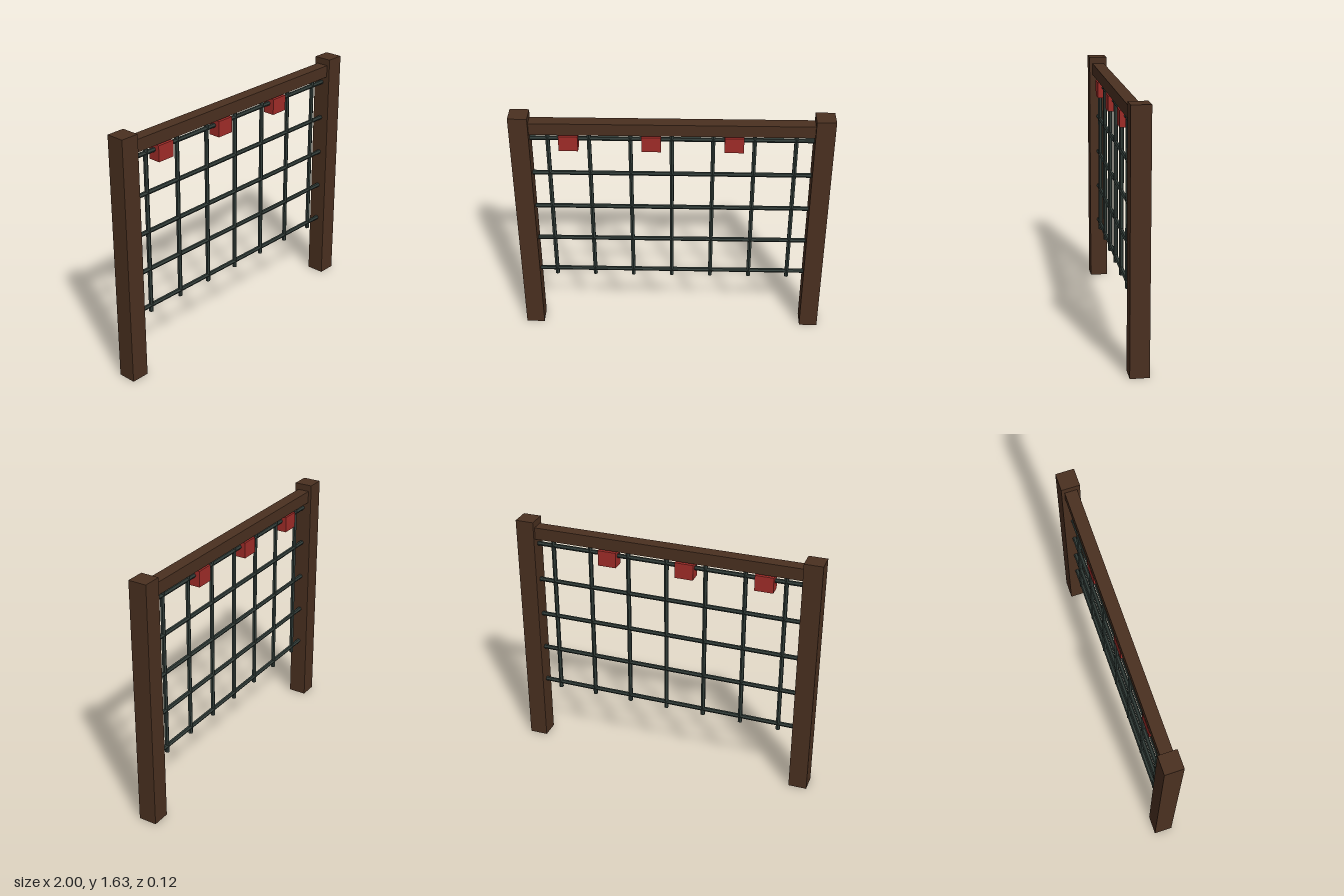
import * as THREE from 'three';

const wood = new THREE.MeshStandardMaterial({ color: 0x4a3020, flatShading: true });
const rope = new THREE.MeshStandardMaterial({ color: 0x2f3a36, flatShading: true });
const red = new THREE.MeshStandardMaterial({ color: 0xa02c28, flatShading: true });

export function createModel() {
  const model = new THREE.Group();
  const add = (name, geometry, material, x, y) => {
    const mesh = new THREE.Mesh(geometry, material);
    mesh.name = name;
    mesh.position.set(x, y, 0);
    model.add(mesh);
    return mesh;
  };

  // Frame: two square posts and a crossbeam
  const postGeometry = new THREE.BoxGeometry(0.12, 1.626, 0.12);
  add('leftPost', postGeometry, wood, 0.94, 0.813);
  add('rightPost', postGeometry, wood, -0.94, 0.813);
  add('crossbeam', new THREE.BoxGeometry(1.78, 0.08, 0.08), wood, 0, 1.543);

  // Net: six-sided ropes in a square grid
  const spacing = 0.257;
  const netCentre = 0.945;
  const ropeRadius = 0.0145;
  const verticalGeometry = new THREE.CylinderGeometry(ropeRadius, ropeRadius, 1.115, 6);
  const horizontalGeometry = new THREE.CylinderGeometry(ropeRadius, ropeRadius, 1.77, 6);
  for (let i = -3; i <= 3; i++) {
    add('verticalRope', verticalGeometry, rope, i * spacing, netCentre);
  }
  for (let i = -2; i <= 2; i++) {
    add('horizontalRope', horizontalGeometry, rope, 0, netCentre + i * spacing).rotation.z = Math.PI / 2;
  }

  // Red blocks threaded on the top rope
  const blockGeometry = new THREE.BoxGeometry(0.12, 0.104, 0.08);
  for (let i = 0; i < 3; i++) {
    add('redBlock', blockGeometry, red, -0.641 + i * 2 * spacing, 1.44);
  }
  return model;
}
